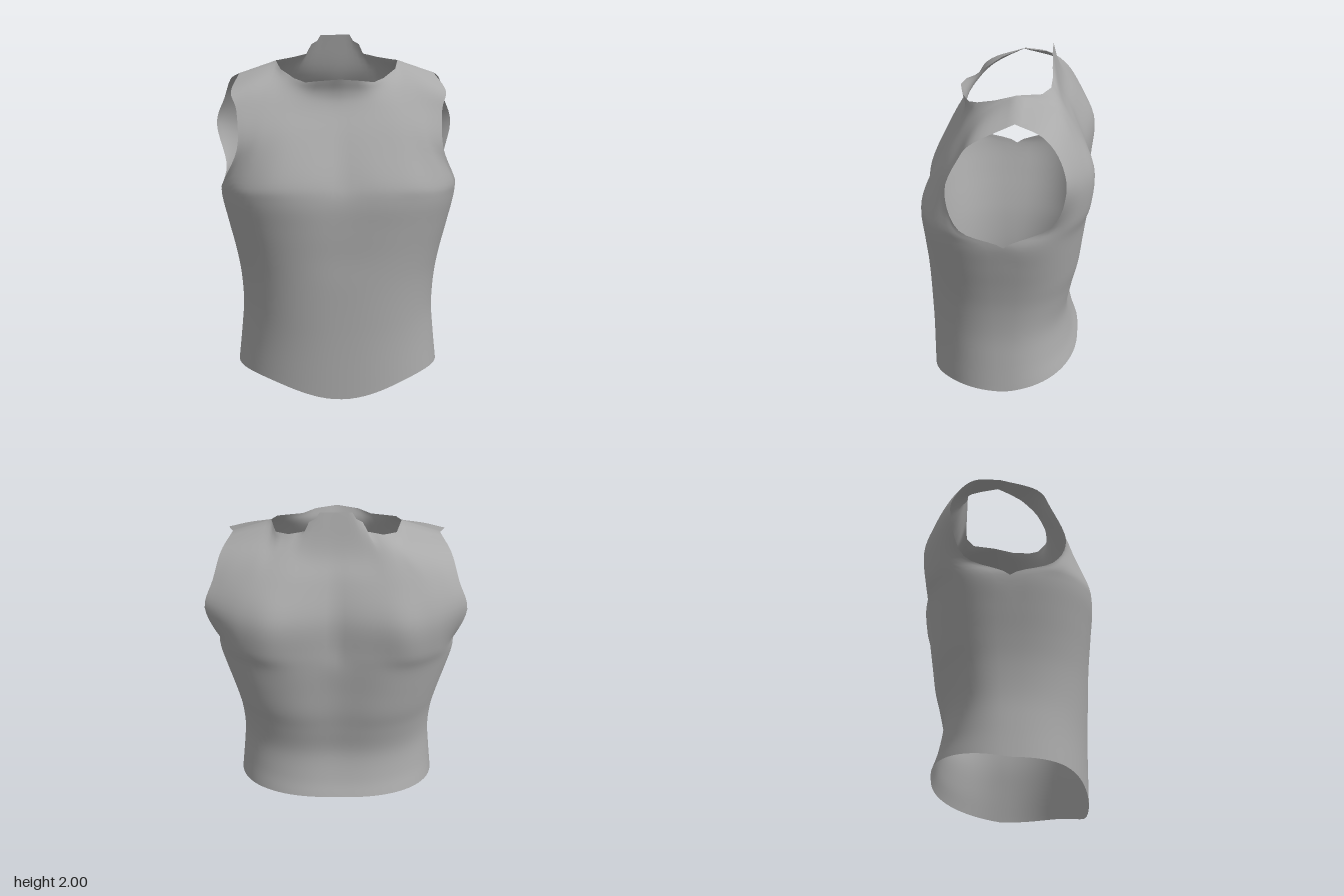
import * as THREE from 'three';
import { mergeVertices } from 'three/addons/utils/BufferGeometryUtils.js';

const HALF_COLS = 20, STEPS = 5;

// Catmull-Rom through vectors, u in [0, list.length - 1], ends extrapolated
function spline(list, u) {
  const n = list.length - 1;
  const i = Math.min(Math.floor(u), n - 1), t = u - i;
  const b = list[i], c = list[i + 1];
  const a = i > 0 ? list[i - 1] : b.clone().multiplyScalar(2).sub(c);
  const d = i + 2 <= n ? list[i + 2] : c.clone().multiplyScalar(2).sub(b);
  const mix = (p, q, r, s) => 0.5 * (2 * q + (r - p) * t + (2 * p - 5 * q + 4 * r - s) * t * t + (3 * q - p - 3 * r + s) * t ** 3);
  return new THREE.Vector3(mix(a.x, b.x, c.x, d.x), mix(a.y, b.y, c.y, d.y), mix(a.z, b.z, c.z, d.z));
}

// Body ring: height, half width, front depth, back depth, centre dips, roundness
const rings = [
  [0.12, 0.58, 0.44, 0.43, 0, 0.005, 2.3],
  [0.30, 0.562, 0.442, 0.395, 0, 0.01, 2.3],
  [0.47, 0.55, 0.446, 0.37, 0, 0.015, 2.4],
  [0.65, 0.562, 0.452, 0.40, 0, 0.02, 2.5],
  [0.80, 0.59, 0.46, 0.435, 0.005, 0.03, 2.6],
  [0.96, 0.63, 0.474, 0.455, 0.01, 0.035, 2.7],
  [1.12, 0.667, 0.488, 0.475, 0.022, 0.04, 2.8],
];

// Each row is a function of s: 0 at the centre, 1 at the side
function ringRow([y, w, front, back, dipF, dipB, n], side, isHem) {
  return (s) => {
    const f = Math.sin((s * Math.PI) / 2);
    const k = s >= 1 ? 0 : Math.pow(1 - Math.pow(f, n), 1 / n);
    const groove = Math.exp(-((f / 0.3) ** 2));
    const depth = side > 0 ? front * k - dipF * groove : back * k - dipB * groove;
    let h = y;
    if (isHem) h = side > 0 ? 0.06 * (1 - Math.cos(Math.PI * f)) : 0.12 + 0.07 * k;
    return new THREE.Vector3(w * f, h, -0.015 * (1 - k) + side * depth);
  };
}
function sectionRow(points) {
  const list = points.map((p) => new THREE.Vector3(...p));
  return (s) => spline(list, s * (list.length - 1));
}
// Straight-sided edge with [s, x, y, z] stations
function edgeRow(stations) {
  return (s) => {
    let i = 0;
    while (i < stations.length - 2 && s > stations[i + 1][0]) i++;
    const [a, b] = [stations[i], stations[i + 1]];
    const t = (s - a[0]) / (b[0] - a[0]);
    return new THREE.Vector3(...a.slice(1)).lerp(new THREE.Vector3(...b.slice(1)), t);
  };
}

const shoulder = [[0.6, 0.35, 1.862, -0.07], [1, 0.56, 1.79, -0.07]];

// Chest sections from bust to collarbone, centre to armhole
const chest = [
  [[0, 1.24, 0.43], [0.2, 1.24, 0.45], [0.38, 1.23, 0.435], [0.52, 1.22, 0.37], [0.61, 1.215, 0.29], [0.65, 1.21, 0.22]],
  [[0, 1.46, 0.33], [0.17, 1.46, 0.34], [0.32, 1.46, 0.34], [0.44, 1.44, 0.33], [0.51, 1.42, 0.315], [0.57, 1.4, 0.3]],
  [[0, 1.62, 0.25], [0.16, 1.62, 0.25], [0.29, 1.62, 0.243], [0.4, 1.61, 0.237], [0.5, 1.6, 0.228], [0.572, 1.6, 0.22]],
  [[0, 1.7, 0.238], [0.15, 1.7, 0.222], [0.27, 1.72, 0.175], [0.38, 1.75, 0.12], [0.49, 1.735, 0.125], [0.603, 1.7, 0.14]],
];
const frontNeck = [
  [0, 0, 1.775, 0.262], [0.2, 0.12, 1.765, 0.24], [0.3, 0.19, 1.755, 0.2],
  [0.4, 0.25, 1.775, 0.15], [0.5, 0.325, 1.82, 0.05], ...shoulder,
];

// Back sections from shoulder blades to nape, centre to armhole
const blades = [
  [[0, 1.25, -0.43], [0.2, 1.25, -0.465], [0.38, 1.25, -0.475], [0.52, 1.25, -0.42], [0.6, 1.245, -0.35], [0.648, 1.24, -0.265]],
  [[0, 1.45, -0.425], [0.2, 1.45, -0.465], [0.36, 1.45, -0.485], [0.5, 1.45, -0.445], [0.6, 1.455, -0.4], [0.705, 1.47, -0.342]],
  [[0, 1.64, -0.365], [0.18, 1.64, -0.385], [0.33, 1.64, -0.395], [0.46, 1.64, -0.38], [0.57, 1.64, -0.345], [0.655, 1.63, -0.31]],
  [[0, 1.79, -0.295], [0.16, 1.79, -0.3], [0.28, 1.79, -0.305], [0.38, 1.79, -0.28], [0.5, 1.77, -0.25], [0.615, 1.745, -0.215]],
];
const backNeck = [
  [0, 0, 2, -0.245], [0.15, 0.085, 2, -0.245], [0.2, 0.105, 1.965, -0.248], [0.25, 0.14, 1.945, -0.248],
  [0.3, 0.165, 1.89, -0.25], [0.4, 0.25, 1.87, -0.245], [0.5, 0.32, 1.86, -0.2], ...shoulder,
];

// Loft one panel (side 1 = front, -1 = back), mirrored about the centre
function addPanel(positions, indices, side, sections, neck) {
  const rows = [
    ...rings.map((r, i) => ringRow(r, side, i === 0)),
    ...sections.map(sectionRow),
    edgeRow(neck),
  ];
  const base = positions.length / 3, width = 2 * HALF_COLS + 1;
  const count = (rows.length - 1) * STEPS;
  for (let r = 0; r <= count; r++) {
    const v = r / STEPS;
    for (let c = -HALF_COLS; c <= HALF_COLS; c++) {
      const s = Math.abs(c) / HALF_COLS;
      const column = rows.map((row) => row(s));
      let p = spline(column, v);
      // side seam below the armhole is shared by both panels
      if (s === 1 && v <= rings.length - 1) p = spline(column.slice(0, rings.length), v);
      positions.push(Math.sign(c) * p.x, p.y, p.z);
    }
  }
  for (let r = 0; r < count; r++) {
    for (let c = 0; c < width - 1; c++) {
      const a = base + r * width + c, b = a + 1, d = a + width, e = d + 1;
      if (side > 0) indices.push(a, b, e, a, e, d);
      else indices.push(a, e, b, a, d, e);
    }
  }
}

export function createModel() {
  const positions = [], indices = [];
  addPanel(positions, indices, 1, chest, frontNeck);
  addPanel(positions, indices, -1, blades, backNeck);

  let geometry = new THREE.BufferGeometry();
  geometry.setAttribute('position', new THREE.Float32BufferAttribute(positions, 3));
  geometry.setIndex(indices);
  geometry = mergeVertices(geometry, 1e-4);
  geometry.computeVertexNormals();

  const cloth = new THREE.MeshStandardMaterial({ color: 0xaaaaaa, side: THREE.DoubleSide });
  cloth.name = 'grey cloth';
  const shirt = new THREE.Mesh(geometry, cloth);
  shirt.name = 'sleevelessTop';
  const group = new THREE.Group();
  group.name = 'garment';
  group.add(shirt);
  return group;
}
